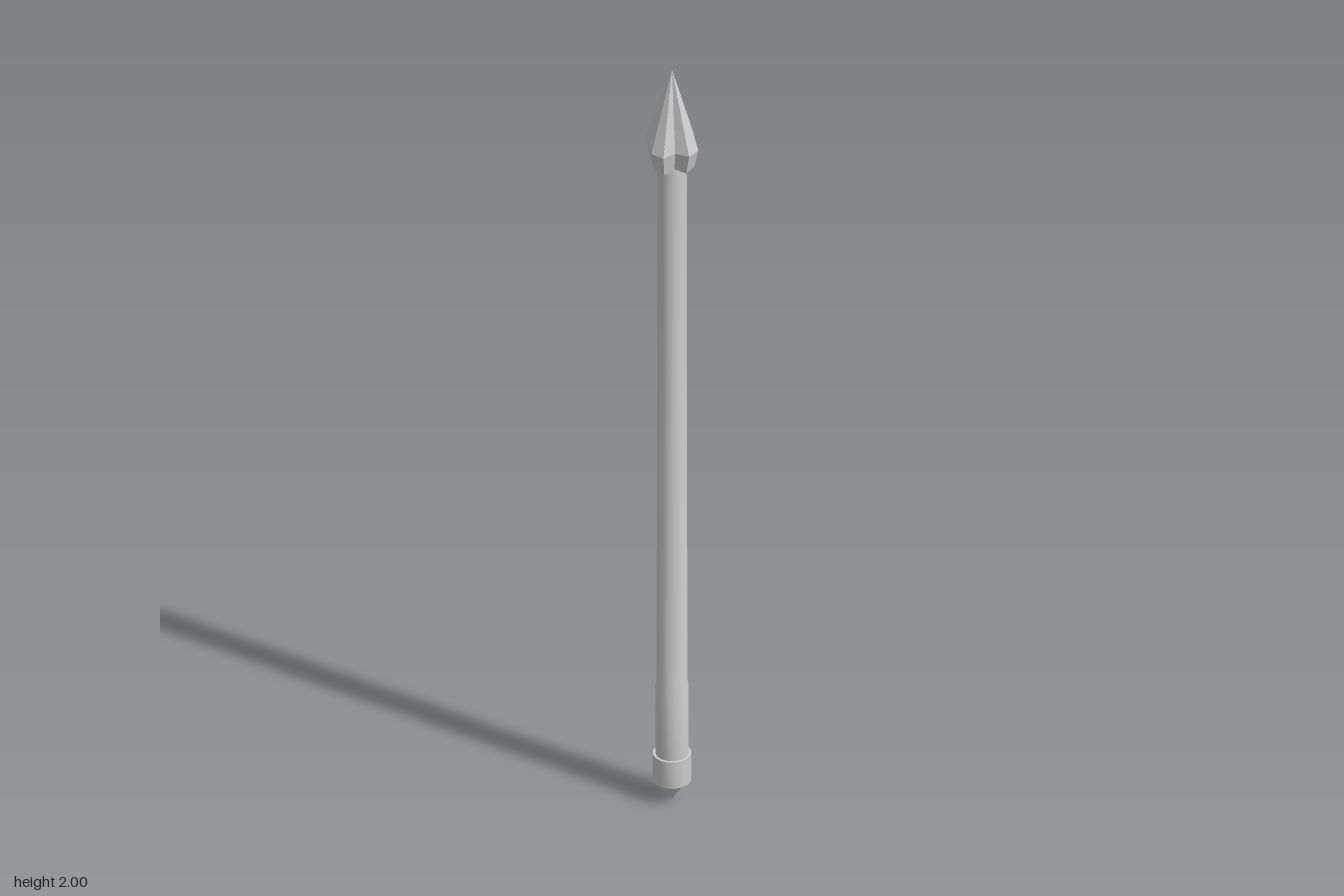
import * as THREE from 'three';
import { toCreasedNormals } from 'three/addons/utils/BufferGeometryUtils.js';

const material = new THREE.MeshStandardMaterial({ color: 0xcccccc });

// Turned part from [radius, height] points, listed bottom to top
function turned(name, profile, sides = 16) {
  const points = profile.map(([r, y]) => new THREE.Vector2(r, y));
  const mesh = new THREE.Mesh(toCreasedNormals(new THREE.LatheGeometry(points, sides), 0.6), material);
  mesh.name = name;
  return mesh;
}

// Fluted point: a four-lobed outline drawn up to an apex and tapered in below
function spearHead() {
  const quarter = [[0.05, 0], [0.055, 0.01], [0.055, 0.044], [0.03, 0.067], [0, 0.05]];
  const half = [...quarter, ...quarter.slice(0, -1).reverse().map(([x, z]) => [-x, z])];
  const outline = [...half, ...half.slice(1, -1).reverse().map(([x, z]) => [x, -z])];
  const upper = outline.map(([x, z]) => [x, 1.8, z]);
  const lower = outline.map(([x, z]) => [x * 0.86, Math.abs(z) > 0.06 ? 1.745 : 1.752, z * 0.8]);
  const apex = [0, 2, 0];
  const base = [0, 1.75, 0];
  const positions = [];
  outline.forEach((_, i) => {
    const j = (i + 1) % outline.length;
    const faces = [
      [upper[i], apex, upper[j]],
      [lower[i], upper[i], lower[j]],
      [upper[i], upper[j], lower[j]],
      [lower[i], lower[j], base],
    ];
    positions.push(...faces.flat(2));
  });
  const geometry = new THREE.BufferGeometry();
  geometry.setAttribute('position', new THREE.Float32BufferAttribute(positions, 3));
  geometry.computeVertexNormals();
  const mesh = new THREE.Mesh(geometry, material);
  mesh.name = 'spearHead';
  return mesh;
}

export function createModel() {
  const model = new THREE.Group();
  model.name = 'spear';
  model.add(
    // Pole, slightly thicker near the foot
    turned('shaft', [[0.039, 0.1], [0.0385, 0.315], [0.036, 0.325], [0.0345, 1.77]]),
    // Metal ferrule around the foot
    turned('ferrule', [[0, 0.055], [0.045, 0.055], [0.045, 0.127], [0.038, 0.127]]),
    // Pointed spike under the ferrule
    turned('buttSpike', [[0, 0], [0.038, 0.056]]),
    spearHead(),
  );
  return model;
}
